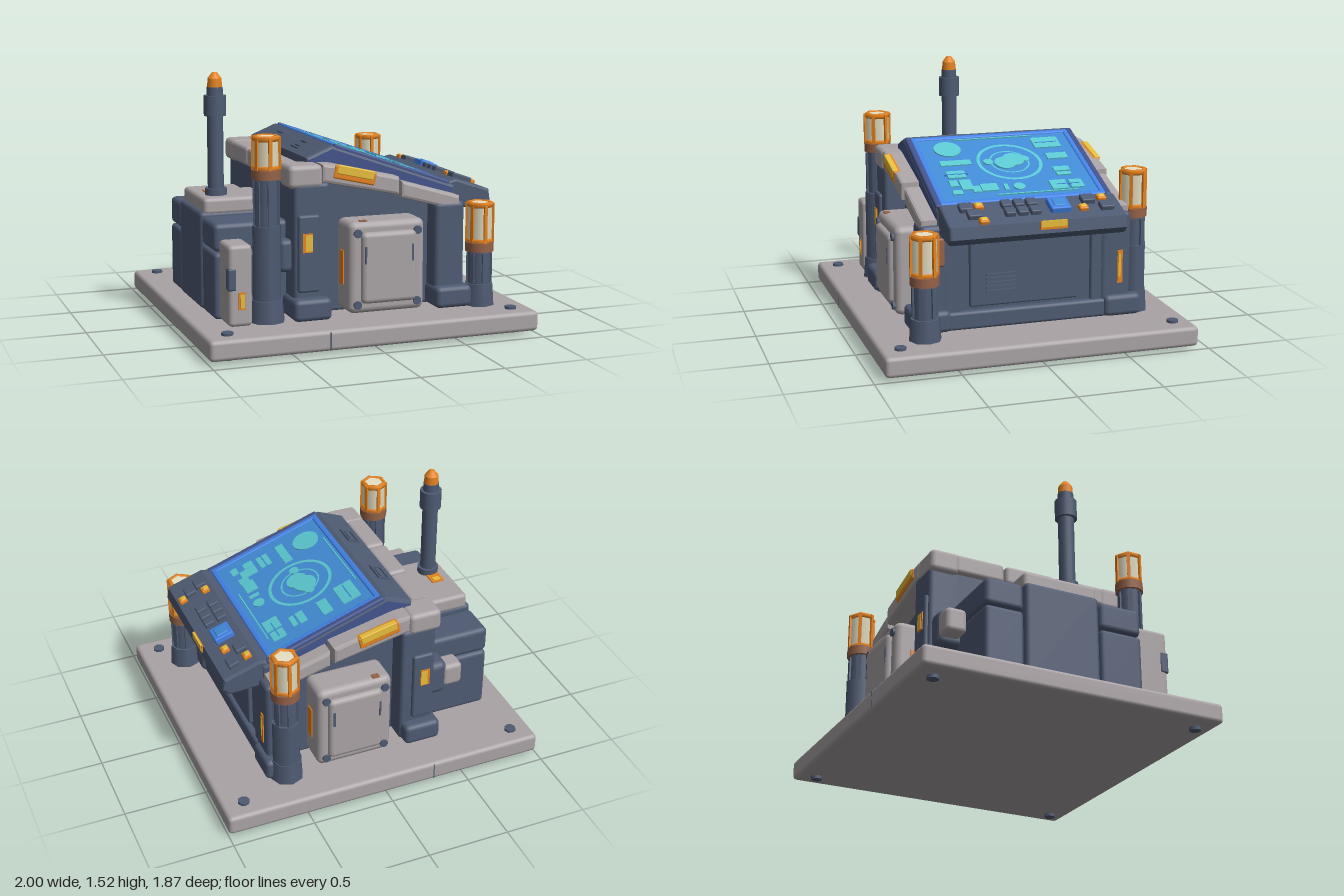
import * as THREE from 'three';
import { RoundedBoxGeometry } from 'three/addons/geometries/RoundedBoxGeometry.js';

const paint = (name, color) => Object.assign(new THREE.MeshStandardMaterial({ color }), { name });

export function createModel() {
  const model = new THREE.Group();
  model.name = 'controlConsole';

  const slate = paint('slate', 0x4f5b73);
  const grey = paint('warm grey', 0xaaa3a5);
  const indigo = paint('indigo', 0x43548c);
  const blue = paint('rim blue', 0x4384ea);
  const glass = paint('screen blue', 0x428cd6);
  const teal = paint('teal', 0x5cc9d2);
  const orange = paint('orange', 0xe5831f);
  const yellow = paint('yellow', 0xf2c640);
  const cream = paint('cream', 0xe6e0c4);
  const rust = paint('rust', 0x966248);

  const add = (name, geo, mat, x, y, z, parent = model) => {
    const m = new THREE.Mesh(geo, mat);
    m.name = name;
    m.position.set(x, y, z);
    parent.add(m);
    return m;
  };
  // Rounded box given by its limits on each axis
  const block = (name, mat, [x0, x1], [y0, y1], [z0, z1], r = 0.02, parent = model) => {
    const w = x1 - x0, h = y1 - y0, d = z1 - z0;
    const geo = new RoundedBoxGeometry(w, h, d, 2, Math.min(r, w / 2.1, h / 2.1, d / 2.1));
    return add(name, geo, mat, (x0 + x1) / 2, (y0 + y1) / 2, (z0 + z1) / 2, parent);
  };
  // Plain box given by centre and size
  const plate = (name, mat, x, y, z, w, h, d, parent = model) =>
    add(name, new THREE.BoxGeometry(w, h, d), mat, x, y, z, parent);
  const tube = (name, mat, x, y0, y1, z, r, r2 = r, sides = 16, parent = model) =>
    add(name, new THREE.CylinderGeometry(r2, r, y1 - y0, sides), mat, x, (y0 + y1) / 2, z, parent);
  // Side profile (x, y) pulled along z, with small bevels
  const prism = (name, mat, pts, z0, z1, b = 0.015) => {
    const shape = new THREE.Shape(pts.map(p => new THREE.Vector2(...p)));
    const geo = new THREE.ExtrudeGeometry(shape, {
      depth: z1 - z0 - 2 * b, bevelThickness: b, bevelSize: b, bevelOffset: -b, bevelSegments: 2
    });
    return add(name, geo, mat, 0, 0, z0 + b);
  };
  // Limits on z for either side of the model
  const side = (s, a, b) => (s > 0 ? [a, b] : [-b, -a]);

  // Base slab with bolts
  block('base', grey, [-1, 1], [0.02, 0.14], [-0.935, 0.935], 0.025);
  for (const x of [-0.87, 0.87]) for (const z of [-0.82, 0.82]) {
    tube('baseBolt', slate, x, 0, 0.155, z, 0.035, 0.035, 8);
  }
  for (const s of [1, -1]) plate('baseSeam', slate, -0.3, 0.08, s * 0.933, 0.006, 0.1, 0.006);

  // Main body and its front panel with vent
  prism('body', slate, [[-0.42, 0.14], [0.62, 0.14], [0.62, 0.78], [-0.2, 1], [-0.42, 1]], -0.52, 0.52);
  block('frontPanel', slate, [0.6, 0.645], [0.27, 0.7], [-0.31, 0.35], 0.012);
  block('frontPlinth', slate, [0.5, 0.66], [0.14, 0.25], [-0.5, 0.5], 0.02);
  for (const z of [-0.45, 0.45]) block('frontRib', slate, [0.58, 0.64], [0.2, 0.72], [z - 0.06, z + 0.06], 0.015);
  for (let i = 0; i < 5; i++) plate('ventSlat', slate, 0.65, 0.36 + i * 0.025, 0.165, 0.02, 0.012, 0.18);

  // Hood and control ledge
  prism('hood', [indigo, slate],
    [[-0.31, 0.95], [-0.31, 1.06], [-0.15, 1.125], [0.63, 0.85], [0.63, 0.74]], -0.54, 0.54, 0.02);
  prism('ledge', slate,
    [[0.5, 0.72], [0.58, 0.87], [0.64, 0.885], [0.86, 0.81], [0.87, 0.74], [0.83, 0.7]], -0.53, 0.53, 0.015);
  plate('ledgeLight', orange, 0.866, 0.788, -0.08, 0.012, 0.05, 0.16);
  plate('ledgeLightCore', yellow, 0.871, 0.796, -0.08, 0.012, 0.036, 0.15);

  // Vents on the rear slope of the hood
  for (const z of [-0.23, 0.22]) {
    const v = new THREE.Group();
    v.name = 'hoodVent';
    v.position.set(-0.235, 1.09, z);
    v.rotation.z = 0.4;
    model.add(v);
    for (const s of [1, -1]) {
      plate('ventSide', slate, s * 0.034, 0.003, 0, 0.012, 0.016, 0.14, v);
      plate('ventEnd', slate, 0, 0.003, s * 0.064, 0.07, 0.016, 0.012, v);
    }
    plate('ventBar', slate, 0, 0.002, 0, 0.035, 0.016, 0.09, v);
  }

  // Tilted screen; u and w are measured from above
  const tilt = 0.339, cos = Math.cos(tilt);
  const screen = new THREE.Group();
  screen.name = 'screen';
  screen.position.set(0.228, 0.99, 0);
  screen.rotation.z = -tilt;
  model.add(screen);
  block('screenGlass', glass, [-0.365, 0.365], [-0.02, 0.006], [-0.49, 0.49], 0.01, screen);
  for (const s of [1, -1]) {
    block('hoodLip', indigo, [-0.385, 0.39], [-0.03, 0.016], side(s, 0.495, 0.535), 0.012, screen);
    block('screenRimEnd', blue, [-0.37, 0.37], [-0.02, 0.014], side(s, 0.47, 0.505), 0.01, screen);
    block('screenRim', blue, s > 0 ? [0.34, 0.375] : [-0.375, -0.34], [-0.02, 0.014], [-0.505, 0.505], 0.01, screen);
  }
  const icon = (u, w, du, dw, mat = teal, y = 0.009) =>
    plate('screenIcon', mat, (u - 0.228) / cos, y, w, du / cos, 0.009, dw, screen);
  const disc = (u, w, r) => tube('screenDisc', teal, (u - 0.228) / cos, 0.004, 0.013, w, r, r, 24, screen);
  const ring = (r0, r1) => {
    const m = add('screenRing', new THREE.RingGeometry(r0, r1, 40), teal, -0.038, 0.0105, -0.03, screen);
    m.rotation.x = -Math.PI / 2;
  };
  ring(0.18, 0.2);
  ring(0.112, 0.122);
  disc(0.17, -0.06, 0.068);
  disc(0.2, 0.0, 0.065);
  disc(0.17, -0.13, 0.03);
  disc(0.18, 0.1, 0.03);
  disc(0.02, 0.31, 0.083);
  disc(0.45, -0.01, 0.035);
  for (const [u, w, du, dw] of [
    [0.01, -0.32, 0.11, 0.17], [0.16, -0.34, 0.06, 0.13], [0.3, -0.32, 0.045, 0.1], [0.35, -0.32, 0.03, 0.09],
    [0.46, -0.36, 0.08, 0.08], [0.46, -0.25, 0.09, 0.1], [0.17, 0.3, 0.05, 0.19], [0.29, 0.33, 0.07, 0.11],
    [0.4, 0.3, 0.1, 0.07], [0.38, 0.37, 0.06, 0.05], [0.44, 0.17, 0.07, 0.1], [0.45, 0.25, 0.06, 0.05],
    [0.47, 0.37, 0.04, 0.06], [0.45, 0.07, 0.06, 0.025], [0.52, -0.1, 0.008, 0.5], [-0.075, 0, 0.008, 0.5]
  ]) icon(u, w, du, dw);
  for (const [u, w] of [[0.01, -0.32], [0.46, -0.31], [0.29, 0.33]]) icon(u, w, 0.008, 0.14, glass, 0.0105);

  // Buttons on the ledge
  const buttons = new THREE.Group();
  buttons.name = 'buttons';
  buttons.position.set(0.74, 0.85, 0);
  buttons.rotation.z = -0.33;
  model.add(buttons);
  const button = (x, z, w, d, mat, h = 0.03) =>
    block('button', mat, [x - 0.74 - w / 2, x - 0.74 + w / 2], [-0.02, h], [z - d / 2, z + d / 2], 0.008, buttons);
  for (const x of [0.685, 0.765]) for (const z of [0, 0.075, 0.15]) button(x, z, 0.065, 0.06, slate);
  for (const [x, z] of [[0.69, 0.39], [0.765, 0.36], [0.77, -0.43], [0.69, -0.34]]) button(x, z, 0.07, 0.08, slate);
  for (const [x, z] of [[0.68, -0.43], [0.77, -0.29], [0.83, 0.32], [0.68, 0.31]]) {
    button(x, z, 0.05, 0.055, orange, 0.022);
    button(x - 0.004, z, 0.034, 0.04, yellow, 0.027);
  }
  button(0.735, -0.15, 0.12, 0.12, blue, 0.036);
  button(0.735, -0.15, 0.075, 0.075, glass, 0.042);

  // Rear rail across the back of the roof
  for (const [a, b] of [[-0.5, -0.18], [-0.17, 0.15], [0.16, 0.5]]) {
    block('rearRail', grey, [-0.45, -0.325], [0.91, 1.03], [a, b], 0.025);
  }

  // Parts on both long sides
  for (const s of [1, -1]) {
    prism('upperRail', grey, [[-0.25, 0.93], [-0.25, 1.035], [-0.18, 1.03], [0.23, 0.935], [0.23, 0.83]], ...side(s, 0.5, 0.65), 0.018);
    block('railCorner', grey, [-0.45, -0.245], [0.9, 1.035], side(s, 0.47, 0.655), 0.03);
    prism('lowerRail', grey, [[0.245, 0.81], [0.245, 0.91], [0.62, 0.8], [0.62, 0.71]], ...side(s, 0.5, 0.635), 0.018);
    const light = new THREE.Group();
    light.name = 'railLight';
    light.position.set(-0.05, 0.965, s * 0.632);
    light.rotation.z = -0.23;
    model.add(light);
    block('lightHousing', orange, [-0.13, 0.13], [-0.042, 0.035], [-0.025, 0.025], 0.01, light);
    block('lightCore', yellow, [-0.115, 0.115], [-0.012, 0.04], side(s, -0.008, 0.029), 0.006, light);

    // Corner pillars
    block('rearPillar', slate, [-0.42, -0.2], [0.14, 0.93], side(s, 0.45, 0.65), 0.025);
    block('rearPillarFoot', slate, [-0.44, -0.21], [0.14, 0.27], side(s, 0.45, 0.72), 0.03);
    block('rearPillarBand', slate, [-0.4, -0.27], [0.3, 0.75], side(s, 0.6, 0.67), 0.015);
    plate('pillarLight', orange, -0.345, 0.59, s * 0.67, 0.06, 0.11, 0.012);
    plate('pillarLightCore', yellow, -0.338, 0.59, s * 0.675, 0.042, 0.095, 0.008);
    block('frontPillar', slate, [0.46, 0.65], [0.14, 0.77], side(s, 0.45, 0.64), 0.03);
    block('frontPillarFoot', slate, [0.45, 0.68], [0.14, 0.27], side(s, 0.47, 0.7), 0.03);

    // Side hatch with a light on each edge
    block('hatch', grey, [-0.11, 0.36], [0.16, 0.7], side(s, 0.5, 0.72), 0.04);
    block('hatchFace', grey, [-0.04, 0.3], [0.22, 0.64], side(s, 0.65, 0.75), 0.03);
    plate('hatchMark', rust, -0.015, 0.7, s * 0.68, 0.045, 0.006, 0.035);
    for (const x of [-1, 1]) {
      plate('hatchLight', orange, 0.125 + x * 0.235, 0.42, s * 0.6, 0.012, 0.2, 0.055);
      plate('hatchSlot', slate, 0.125 + x * 0.145, 0.51, s * 0.748, 0.012, 0.1, 0.008);
      for (const y of [0.215, 0.635]) {
        const bolt = tube('hatchBolt', slate, 0.125 + x * 0.185, y - 0.0125, y + 0.0125, s * 0.72, 0.025, 0.025, 10);
        bolt.rotation.x = Math.PI / 2;
      }
    }
  }
  plate('pillarStrip', orange, 0.652, 0.44, -0.57, 0.01, 0.2, 0.032);
  plate('pillarStripCore', yellow, 0.655, 0.45, -0.567, 0.01, 0.14, 0.014);
  block('pillarMark', rust, [0.63, 0.66], [0.53, 0.7], [0.5, 0.585], 0.014);

  // Rear equipment box with lid seams
  for (const [a, b] of [[-0.5, -0.26], [0.23, 0.5]]) {
    block('rearBoxEnd', slate, [-0.85, -0.4], [0.14, 0.53], [a, b], 0.025);
    block('rearBoxLid', slate, [-0.85, -0.4], [0.535, 0.7], [a, b], 0.03);
  }
  block('rearBoxCore', slate, [-0.855, -0.4], [0.14, 0.72], [-0.25, 0.22], 0.025);
  block('rearBoxTop', grey, [-0.83, -0.5], [0.7, 0.8], [-0.25, 0.22], 0.025);
  block('rearBoxBridge', grey, [-0.6, -0.4], [0.7, 0.78], [-0.22, 0.2], 0.02);
  plate('topLight', orange, -0.725, 0.802, 0, 0.08, 0.01, 0.11);
  plate('topLightCore', yellow, -0.725, 0.805, -0.025, 0.045, 0.01, 0.035);

  // Small cabinet beside the box
  block('cabinet', grey, [-0.82, -0.68], [0.14, 0.61], [0.48, 0.69], 0.025);
  block('cabinetLatch', slate, [-0.825, -0.775], [0.35, 0.48], [0.64, 0.695], 0.012);
  plate('cabinetLight', orange, -0.745, 0.29, 0.69, 0.038, 0.1, 0.01);
  plate('cabinetLightCore', yellow, -0.742, 0.29, 0.694, 0.024, 0.08, 0.008);

  // Jointed pod at the far corner
  block('podJoint', slate, [-0.52, -0.38], [0.4, 0.62], [-0.63, -0.45], 0.04);
  block('podCap', grey, [-0.62, -0.49], [0.44, 0.59], [-0.63, -0.5], 0.03);
  block('cableGuide', slate, [-0.49, -0.4], [0.41, 0.6], [0.5, 0.6], 0.03);

  // Antenna
  tube('antennaBase', slate, -0.72, 0.79, 0.84, 0.09, 0.065);
  tube('antennaMast', slate, -0.72, 0.8, 1.44, 0.09, 0.048);
  tube('antennaCollar', slate, -0.72, 1.27, 1.39, 0.09, 0.066);
  tube('antennaTip', orange, -0.72, 1.43, 1.49, 0.09, 0.046, 0.042, 12);
  tube('antennaPoint', orange, -0.72, 1.49, 1.525, 0.09, 0.042, 0.015, 12);

  // Lamp posts: foot, ribbed column, collar and caged lamp
  const lampPost = (x, z, collarY, top, footR, mid) => {
    const g = new THREE.Group();
    g.name = 'lampPost';
    g.position.set(x, 0, z);
    model.add(g);
    tube('foot', slate, 0, 0.14, 0.27, 0, footR, footR * 0.9, 8, g);
    tube('column', slate, 0, 0.14, collarY, 0, 0.068, 0.068, 12, g);
    if (mid) tube('sleeve', slate, 0, 0.27, mid, 0, 0.085, 0.085, 8, g);
    tube('collar', rust, 0, collarY, collarY + 0.055, 0, 0.085, 0.085, 16, g);
    tube('lamp', cream, 0, collarY + 0.05, top - 0.004, 0, 0.078, 0.078, 6, g);
    for (let i = 0; i < 6; i++) {
      const a = i * Math.PI / 3, px = Math.sin(a), pz = Math.cos(a);
      plate('cageBar', orange, px * 0.074, (collarY + 0.05 + top) / 2, pz * 0.074, 0.02, top - collarY - 0.06, 0.022, g).rotation.y = a;
      plate('columnRib', slate, px * 0.066, (0.27 + collarY) / 2, pz * 0.066, 0.025, collarY - 0.29, 0.02, g).rotation.y = a;
    }
    for (const y of [collarY + 0.062, top - 0.014]) {
      const r = add('cageRing', new THREE.TorusGeometry(0.069, 0.018, 6, 6), orange, 0, y, 0, g);
      r.rotation.set(Math.PI / 2, 0, Math.PI / 6);
    }
  };
  lampPost(-0.57, 0.605, 0.965, 1.21, 0.105, 0.7);
  lampPost(0.745, 0.645, 0.465, 0.76, 0.095, 0);
  lampPost(0.55, -0.685, 0.72, 1.005, 0.1, 0.55);

  return model;
}
